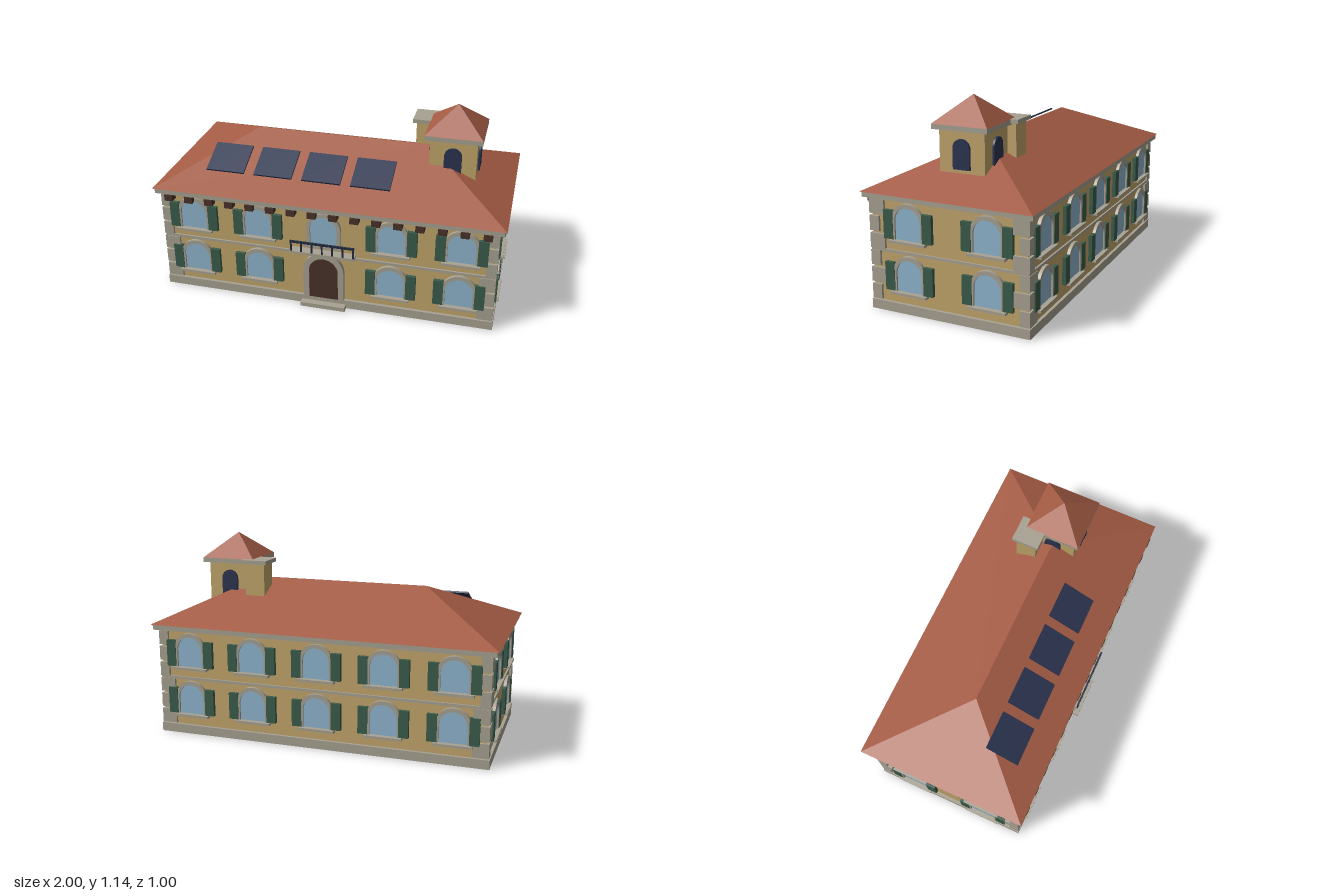
import * as THREE from 'three';

const mat = (name, color, extra = {}) => {
  const m = new THREE.MeshStandardMaterial({ color, ...extra });
  m.name = name;
  return m;
};

export function createModel() {
  const wall = mat('ochre plaster', 0xc2a66c);
  const stone = mat('grey stone', 0xa8a292);
  const tile = mat('terracotta tile', 0xa55c45, { flatShading: true });
  const glass = mat('window glass', 0x90b6d0);
  const green = mat('shutter green', 0x3a5c4b);
  const wood = mat('dark wood', 0x4a332b);
  const navy = mat('dark navy', 0x2b3450);
  const iron = mat('railing iron', 0x232b40);

  const root = new THREE.Group();
  root.name = 'villa';
  const house = new THREE.Group();
  house.name = 'house';
  house.position.z = -0.005;
  root.add(house);

  const add = (parent, name, geo, material, x = 0, y = 0, z = 0) => {
    const m = new THREE.Mesh(geo, material);
    m.name = name;
    m.position.set(x, y, z);
    parent.add(m);
    return m;
  };
  // box spanning y0..y1, centred on x and z
  const block = (parent, name, w, y0, y1, d, material, x = 0, z = 0) =>
    add(parent, name, new THREE.BoxGeometry(w, y1 - y0, d), material, x, (y0 + y1) / 2, z);

  // round-headed panel and its U-shaped surround; y = 0 is the foot
  const extrude = (shape, depth) =>
    new THREE.ExtrudeGeometry(shape, { depth, bevelEnabled: false, curveSegments: 14 });
  const archPanel = (r, spring, depth) => {
    const s = new THREE.Shape();
    s.moveTo(-r, 0);
    s.lineTo(r, 0);
    s.lineTo(r, spring);
    s.absarc(0, spring, r, 0, Math.PI, false);
    s.closePath();
    return extrude(s, depth);
  };
  const archFrame = (ri, ro, spring, depth) => {
    const s = new THREE.Shape();
    s.moveTo(ri, 0);
    s.lineTo(ro, 0);
    s.lineTo(ro, spring);
    s.absarc(0, spring, ro, 0, Math.PI, false);
    s.lineTo(-ro, 0);
    s.lineTo(-ri, 0);
    s.lineTo(-ri, spring);
    s.absarc(0, spring, ri, Math.PI, 0, true);
    s.closePath();
    return extrude(s, depth);
  };

  // main volume
  const WX = 0.95, WZ = 0.447;
  block(house, 'plinth', 1.936, 0, 0.052, 0.928, stone);
  block(house, 'walls', WX * 2, 0.05, 0.63, WZ * 2, wall);
  block(house, 'stringCourse', WX * 2 + 0.02, 0.329, 0.344, WZ * 2 + 0.02, stone);
  block(house, 'cornice', 1.975, 0.62, 0.65, 0.972, stone);

  // corner quoins, alternating long side
  for (const sx of [-1, 1]) for (const sz of [-1, 1]) for (let i = 0; i < 6; i++) {
    const w = i % 2 ? 0.057 : 0.09, d = i % 2 ? 0.09 : 0.057;
    const y = 0.058 + i * 0.0945;
    block(house, 'quoin', w, y, y + 0.082, d, stone, sx * (0.964 - w / 2), sz * (0.461 - d / 2));
  }

  // hipped roof
  const hipRoof = (hx, hz, ridge, h) => {
    const a = [-hx, 0, hz], b = [hx, 0, hz], c = [hx, 0, -hz], d = [-hx, 0, -hz];
    const l = [-ridge, h, 0], r = [ridge, h, 0];
    const faces = [a, b, r, a, r, l, c, d, l, c, l, r, b, c, r, d, a, l, a, d, c, a, c, b];
    const g = new THREE.BufferGeometry();
    g.setAttribute('position', new THREE.Float32BufferAttribute(faces.flat(), 3));
    g.computeVertexNormals();
    return g;
  };
  add(house, 'roof', hipRoof(1, 0.493, 0.508, 0.227), tile, 0, 0.65, 0);

  // windows with surround, sill and shutters
  const frameGeo = archFrame(0.077, 0.099, 0.1, 0.018);
  const glassGeo = archPanel(0.077, 0.1, 0.008);
  const sillGeo = new THREE.BoxGeometry(0.214, 0.014, 0.034);
  const shutterGeo = new THREE.BoxGeometry(0.056, 0.155, 0.021);
  const makeWindow = (parent, x, y, z, shutters) => {
    const w = new THREE.Group();
    w.name = 'window';
    w.position.set(x, y, z);
    add(w, 'surround', frameGeo, stone);
    add(w, 'pane', glassGeo, glass);
    add(w, 'sill', sillGeo, stone, 0, -0.008, 0.017);
    if (shutters) for (const s of [-1, 1])
      add(w, 'shutter', shutterGeo, green, s * 0.115, 0.0785, 0.0105);
    parent.add(w);
  };
  const wide = [-0.77, -0.385, 0, 0.385, 0.77], narrow = [-0.228, 0.228];
  [wide, narrow, wide, narrow].forEach((xs, side) => {
    const facade = new THREE.Group();
    facade.name = ['frontFacade', 'leftFacade', 'backFacade', 'rightFacade'][side];
    facade.rotation.y = side * Math.PI / 2;
    house.add(facade);
    for (const x of xs) for (const y of [0.122, 0.406]) {
      const centre = side === 0 && x === 0;
      if (centre && y < 0.2) continue; // door goes here
      makeWindow(facade, x, y, side % 2 ? WX : WZ, !centre);
    }
  });

  // entrance
  add(house, 'doorSurround', archFrame(0.085, 0.118, 0.182, 0.025), stone, 0, 0.05, WZ);
  add(house, 'door', archPanel(0.085, 0.182, 0.018), wood, 0, 0.05, WZ);
  block(house, 'doorStep', 0.262, 0, 0.025, 0.1, stone, 0, 0.453);

  // balcony
  block(house, 'balconySlab', 0.37, 0.35, 0.365, 0.06, stone, 0, 0.471);
  block(house, 'balconyRail', 0.37, 0.42, 0.432, 0.01, iron, 0, 0.496);
  for (let i = 0; i < 7; i++)
    block(house, 'baluster', 0.009, 0.36, 0.425, 0.008, iron, -0.18 + i * 0.06, 0.496);

  // eave brackets along the front
  for (let i = 0; i < 16; i++)
    block(house, 'eaveBracket', 0.048, 0.583, 0.62, 0.05, wood, -0.904 + i * 0.1205, 0.469);

  // solar panels lying on the front slope
  for (let i = 0; i < 4; i++) {
    const p = add(house, 'solarPanel', new THREE.BoxGeometry(0.223, 0.01, 0.205), navy,
      -0.609 + i * 0.2815, 0.778, 0.251);
    p.rotation.x = Math.atan(0.46);
  }

  // tower
  const tower = new THREE.Group();
  tower.name = 'tower';
  tower.position.set(0.655, 0, 0.002);
  house.add(tower);
  block(tower, 'towerWalls', 0.262, 0.68, 0.98, 0.262, wall);
  block(tower, 'towerCornice', 0.32, 0.973, 1.0, 0.32, stone);
  const cap = new THREE.ConeGeometry(0.161 * Math.SQRT2, 0.14, 4);
  cap.rotateY(Math.PI / 4);
  add(tower, 'towerRoof', cap, tile, 0, 1.07, 0);
  const openingGeo = archPanel(0.049, 0.111, 0.012);
  for (let i = 0; i < 4; i++) {
    const side = new THREE.Group();
    side.name = 'towerSide';
    side.rotation.y = i * Math.PI / 2;
    add(side, 'towerOpening', openingGeo, navy, 0, 0.77, 0.131);
    tower.add(side);
  }

  // chimney
  block(house, 'chimney', 0.118, 0.76, 0.985, 0.118, wall, 0.475, -0.122);
  block(house, 'chimneyCap', 0.158, 0.98, 1.003, 0.158, stone, 0.475, -0.122);

  return root;
}
